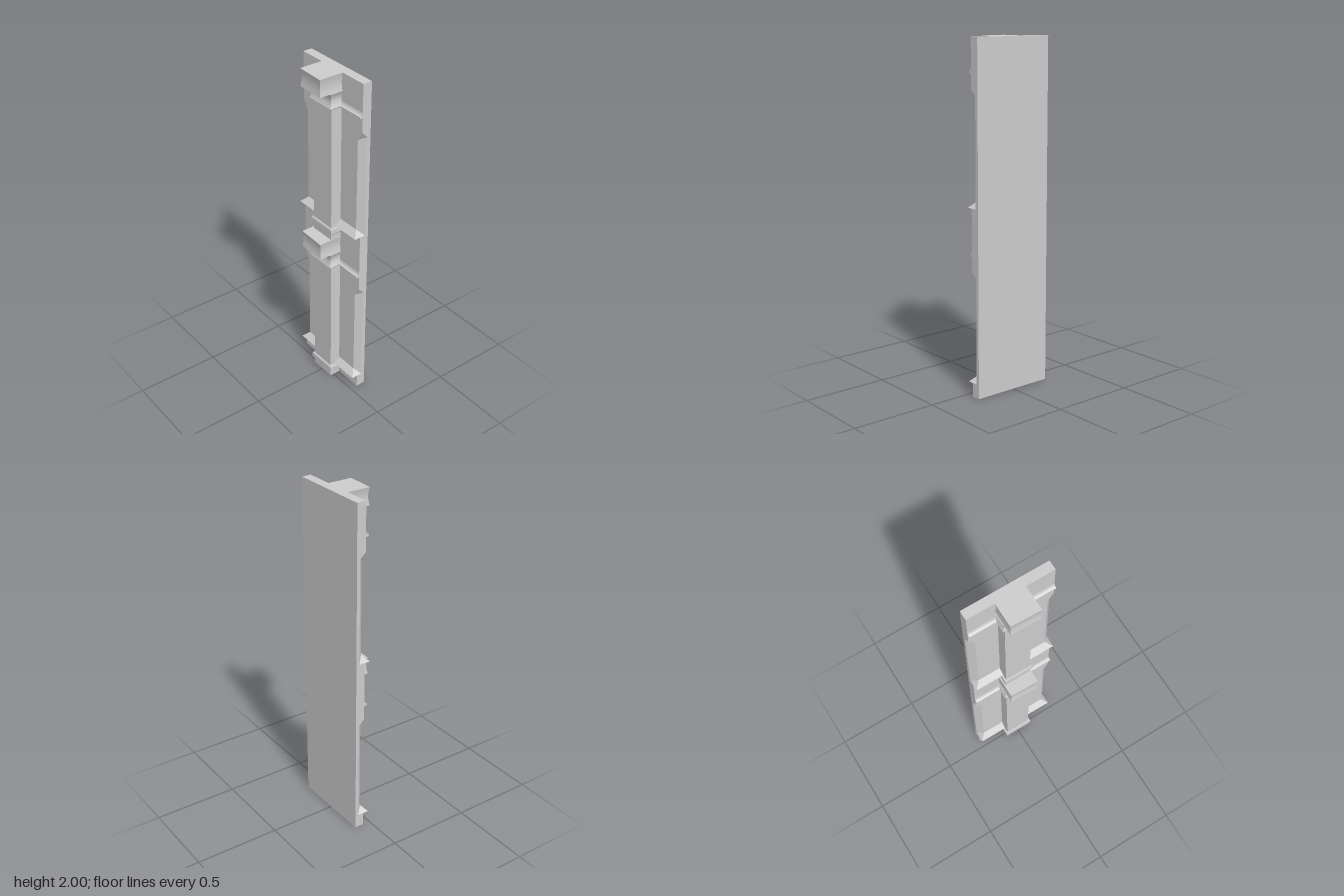
import * as THREE from 'three';

const material = new THREE.MeshStandardMaterial({ color: 0xcccccc, flatShading: true });

// Closed solid through a stack of rings of [x, y, z] points, with end caps
function loft(name, rings) {
  const pos = [];
  const tri = (a, b, c) => pos.push(...a, ...b, ...c);
  const n = rings[0].length;
  for (let k = 0; k < rings.length - 1; k++) {
    const a = rings[k], b = rings[k + 1];
    for (let i = 0; i < n; i++) {
      const j = (i + 1) % n;
      tri(a[i], a[j], b[j]);
      tri(a[i], b[j], b[i]);
    }
  }
  const bottom = rings[0], top = rings[rings.length - 1];
  for (let i = 1; i < n - 1; i++) {
    tri(bottom[0], bottom[i + 1], bottom[i]);
    tri(top[0], top[i], top[i + 1]);
  }
  const geo = new THREE.BufferGeometry();
  geo.setAttribute('position', new THREE.Float32BufferAttribute(pos, 3));
  geo.computeVertexNormals();
  const mesh = new THREE.Mesh(geo, material);
  mesh.name = name;
  return mesh;
}

// Rectangular ring; skew moves the outer face out at its +z end
const rect = (y, x0, x1, z, zc = 0, skew = 0) => [
  [x0 + skew, y, zc - z], [x0 - skew, y, zc + z], [x1, y, zc + z], [x1, y, zc - z],
];

// Wall ring with its two outer corners cut by c; yIn is the height of the inner cut points
const wallRing = (y, c, yIn = y) => [
  [0.045, yIn, c - 0.25], [0.045, yIn, 0.25 - c], [0.045 + c, y, 0.25],
  [0.1, y, 0.25], [0.1, y, -0.25], [0.045 + c, y, -0.25],
];

function createStorey() {
  const g = new THREE.Group();
  g.name = 'storey';

  // Wall slab with stopped chamfers on its outer corners
  g.add(loft('wallPanel', [
    wallRing(0, 0), wallRing(0.08, 0), wallRing(0.08, 0.035),
    wallRing(0.69, 0.035, 0.67), wallRing(0.725, 0), wallRing(1, 0),
  ]));

  // Sill with hipped ends
  g.add(loft('sill', [rect(0.08, 0.01, 0.08, 0.25), rect(0.115, 0.045, 0.045, 0.215)]));

  // Horizontal moulding: flat nose with a cove above
  const cove = [rect(0.808, 0.034, 0.06, 0.25), rect(0.812, 0.027, 0.06, 0.25)];
  for (let i = 0; i <= 6; i++) {
    const a = (i / 6) * Math.PI / 2;
    cove.push(rect(0.82 + 0.03 * (1 - Math.cos(a)), 0.046 - 0.019 * (1 - Math.sin(a)), 0.06, 0.25));
  }
  g.add(loft('stringMoulding', cove));

  // Pier: plinth, base block and shaft
  g.add(loft('pierPlinth', [rect(0, -0.022, 0.06, 0.08), rect(0.04, -0.022, 0.06, 0.08)]));
  g.add(loft('pierBase', [
    rect(0.035, -0.026, 0.06, 0.085), rect(0.042, -0.031, 0.06, 0.09),
    rect(0.068, -0.031, 0.06, 0.09), rect(0.076, -0.028, 0.06, 0.087),
  ]));
  g.add(loft('pierShaft', [rect(0.07, -0.02, 0.06, 0.078), rect(0.82, -0.02, 0.06, 0.078)]));

  // Concave neck under the capital
  const neck = [rect(0.808, -0.029, 0.06, 0.086, -0.004)];
  for (let i = 0; i <= 8; i++) {
    const t = i / 8, dip = 0.013 * Math.sin(Math.PI * t);
    neck.push(rect(0.815 + 0.085 * t, -0.035 + dip, 0.06, 0.092 - dip, -0.004));
  }
  g.add(loft('pierNeck', neck));

  // Projecting capital with slightly hollow sides
  const cap = [];
  for (let i = 0; i <= 8; i++) {
    const t = i / 8, dip = 0.006 * Math.sin(Math.PI * t);
    cap.push(rect(0.9 + 0.1 * t, -0.097 + dip, 0.06, 0.087 - dip, -0.004, 0.003));
  }
  g.add(loft('capital', cap));
  return g;
}

export function createModel() {
  const model = new THREE.Group();
  model.name = 'wallSection';
  for (let i = 0; i < 2; i++) {
    const storey = createStorey();
    storey.position.y = i;
    model.add(storey);
  }
  return model;
}
